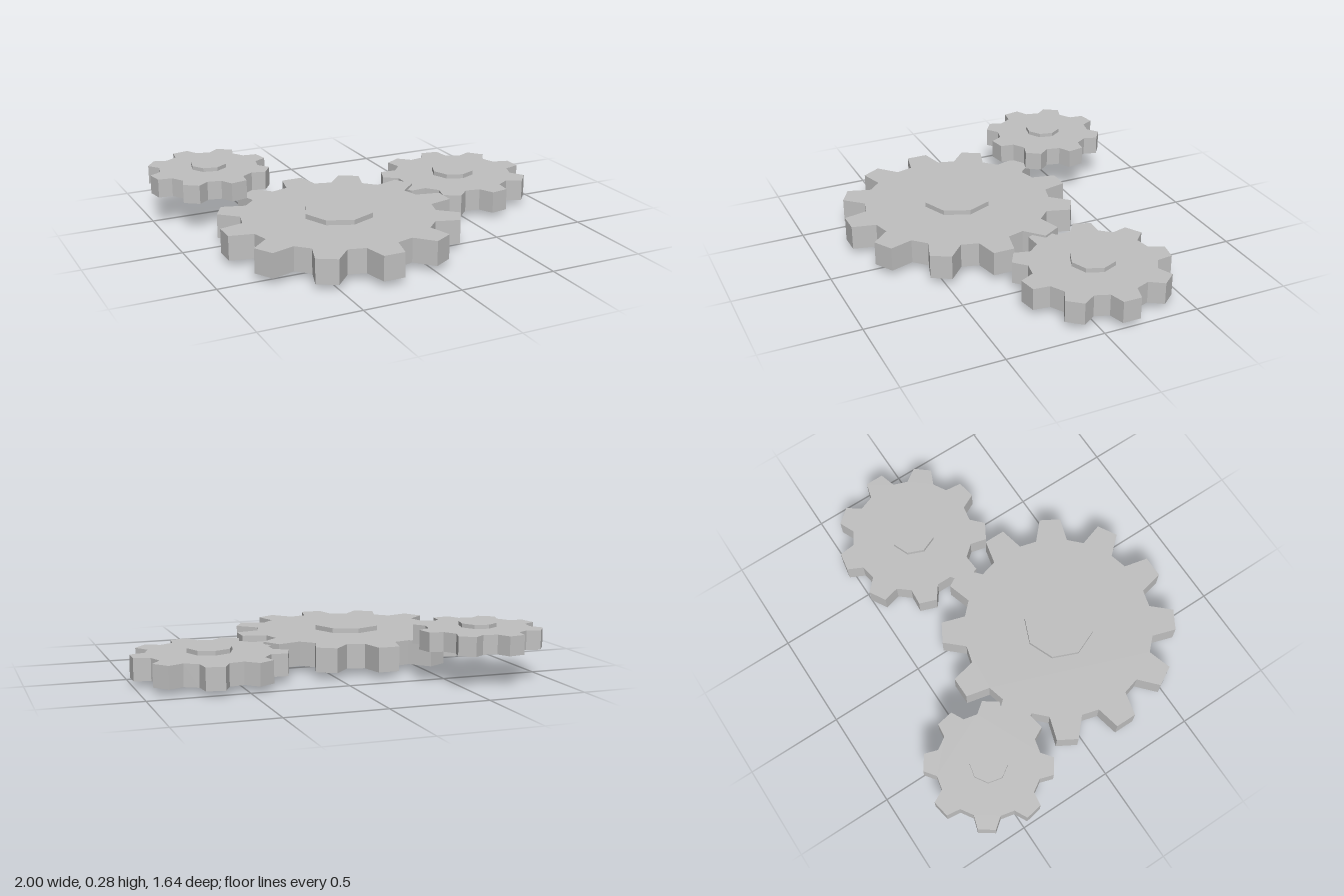
import * as THREE from 'three';

const steel = new THREE.MeshStandardMaterial({ color: 0xc0c0c0, flatShading: true });
steel.name = 'steel grey';

// Flat toothed outline: each tooth is a trapezoid between root and tip radius
function gearShape(teeth, tipRadius) {
  const rootRadius = tipRadius * 0.805;
  const pitch = (Math.PI * 2) / teeth;
  const corners = [[-0.323, rootRadius], [-0.173, tipRadius], [0.173, tipRadius], [0.323, rootRadius]];
  const points = [];
  for (let i = 0; i < teeth; i++) {
    for (const [offset, r] of corners) {
      const a = (i + offset) * pitch;
      points.push(new THREE.Vector2(r * Math.cos(a), r * Math.sin(a)));
    }
  }
  return new THREE.Shape(points);
}

// Toothed disc with an eight-sided hub that stands proud on both faces
function makeGear({ name, x, z, teeth, radius, hubRadius, disc, hub, turn }) {
  const gear = new THREE.Group();
  gear.name = name;
  gear.position.set(x, 0, z);
  gear.rotation.y = THREE.MathUtils.degToRad(turn);

  const discGeometry = new THREE.ExtrudeGeometry(gearShape(teeth, radius), {
    depth: disc[1] - disc[0], bevelEnabled: false,
  });
  discGeometry.rotateX(-Math.PI / 2);
  const discMesh = new THREE.Mesh(discGeometry, steel);
  discMesh.name = 'toothedDisc';
  discMesh.position.y = disc[0];

  const hubMesh = new THREE.Mesh(
    new THREE.CylinderGeometry(hubRadius, hubRadius, hub[1] - hub[0], 8), steel);
  hubMesh.name = 'hub';
  hubMesh.position.y = (hub[0] + hub[1]) / 2;

  gear.add(discMesh, hubMesh);
  return gear;
}

export function createModel() {
  const model = new THREE.Group();
  model.name = 'gearTrain';
  const gears = [
    { name: 'largeGear', x: -0.251, z: 0.214, teeth: 12, radius: 0.607, hubRadius: 0.18,
      disc: [0.03, 0.156], hub: [0, 0.181], turn: 0 },
    { name: 'mediumGear', x: 0.608, z: -0.143, teeth: 9, radius: 0.394, hubRadius: 0.116,
      disc: [0.03, 0.144], hub: [0.008, 0.167], turn: 0 },
    { name: 'smallGear', x: -0.681, z: -0.5, teeth: 8, radius: 0.322, hubRadius: 0.095,
      disc: [0.16, 0.257], hub: [0.14, 0.277], turn: 10 },
  ];
  for (const gear of gears) model.add(makeGear(gear));
  return model;
}
